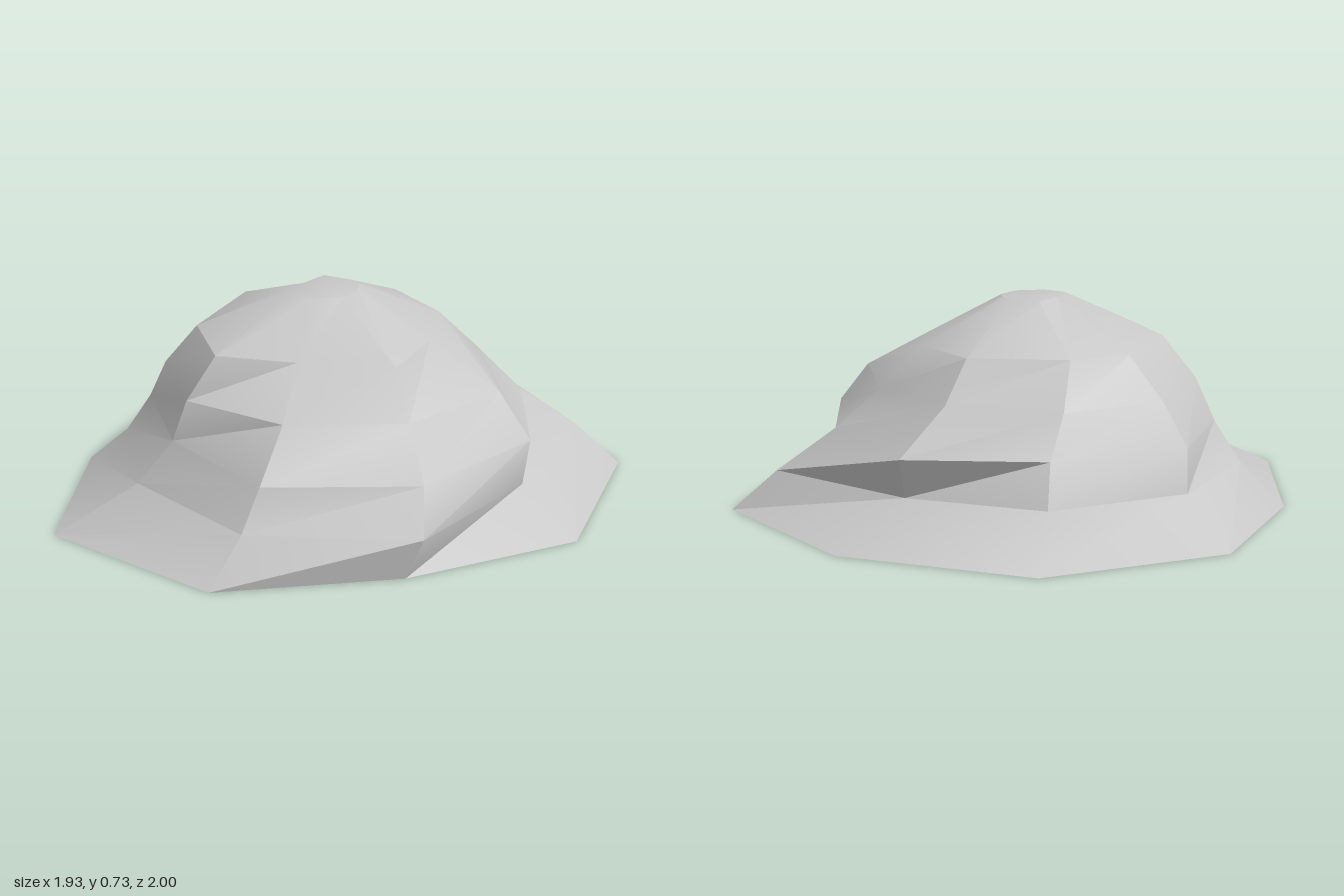
import * as THREE from 'three';
import { toCreasedNormals } from 'three/addons/utils/BufferGeometryUtils.js';

// Nine-sided cross-sections [x, z], from the ground up, evenly spaced in height
const RINGS = [
  [[-0.2, -1], [0.485, -0.83], [0.963, -0.3], [0.86, 0.41], [0.33, 0.79], [-0.28, 1], [-0.9, 0.66], [-0.963, -0.02], [-0.79, -0.65]],
  [[-0.2, -0.735], [0.29, -0.62], [0.8, -0.295], [0.66, 0.29], [0.39, 0.8], [-0.2, 0.86], [-0.64, 0.51], [-0.805, 0.03], [-0.64, -0.45]],
  [[-0.2, -0.66], [0.295, -0.69], [0.6, -0.24], [0.68, 0.25], [0.375, 0.7], [-0.15, 0.8], [-0.525, 0.46], [-0.71, 0.045], [-0.635, -0.41]],
  [[-0.235, -0.58], [0.17, -0.51], [0.44, -0.25], [0.565, 0.19], [0.3, 0.53], [-0.11, 0.61], [-0.475, 0.45], [-0.64, 0.085], [-0.55, -0.36]],
  [[-0.24, -0.41], [0.11, -0.42], [0.3, -0.2], [0.31, 0.12], [0.235, 0.4], [-0.1, 0.41], [-0.385, 0.39], [-0.52, 0.095], [-0.43, -0.3]],
  [[-0.1, -0.1], [0.005, -0.065], [0.04, -0.02], [0.05, 0.05], [0.01, 0.13], [-0.09, 0.16], [-0.165, 0.12], [-0.19, 0.06], [-0.155, 0]],
];
const HEIGHT = 0.73;

// Skin the cross-sections and close both ends
function loftGeometry(rings, height) {
  const n = rings[0].length;
  const last = rings.length - 1;
  const positions = [];
  const index = [];
  rings.forEach((ring, j) => ring.forEach(([x, z]) => positions.push(x, (height * j) / last, z)));

  for (let j = 0; j < last; j++) {
    for (let k = 0; k < n; k++) {
      const a = j * n + k;
      const b = j * n + ((k + 1) % n);
      index.push(a, a + n, b, b, a + n, b + n);
    }
  }

  const top = positions.length / 3;
  positions.push(-0.07, height, 0.03, 0, 0, 0);
  for (let k = 0; k < n; k++) {
    const next = (k + 1) % n;
    index.push(top, last * n + next, last * n + k);
    index.push(top + 1, k, next);
  }

  const geometry = new THREE.BufferGeometry();
  geometry.setAttribute('position', new THREE.Float32BufferAttribute(positions, 3));
  geometry.setIndex(index);
  return toCreasedNormals(geometry, THREE.MathUtils.degToRad(26));
}

export function createModel() {
  const stone = new THREE.MeshStandardMaterial({ color: 0xc8c8c8 });
  stone.name = 'stone grey';

  const rock = new THREE.Mesh(loftGeometry(RINGS, HEIGHT), stone);
  rock.name = 'rock';

  const group = new THREE.Group();
  group.name = 'boulder';
  group.add(rock);
  return group;
}
